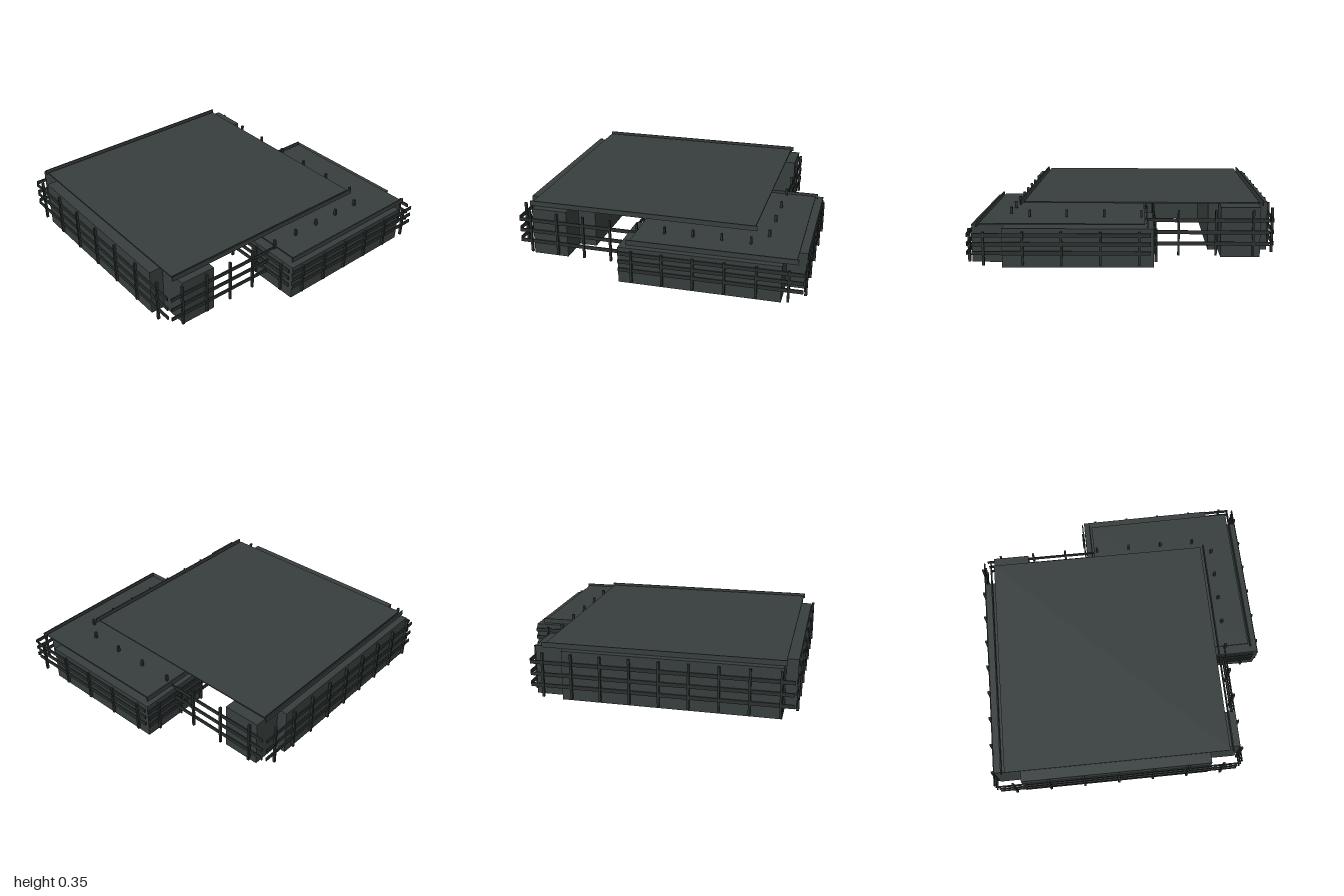
import * as THREE from 'three';

const wall = new THREE.MeshStandardMaterial({ color: 0x373e3d });
wall.name = 'dark slate';
const metal = new THREE.MeshStandardMaterial({ color: 0x2a302f });
metal.name = 'charcoal metal';

// Box given by its lower and upper limits on each axis
function box(parent, name, mat, [x0, x1], [y0, y1], [z0, z1]) {
  const m = new THREE.Mesh(new THREE.BoxGeometry(x1 - x0, y1 - y0, z1 - z0), mat);
  m.position.set((x0 + x1) / 2, (y0 + y1) / 2, (z0 + z1) / 2);
  m.name = name;
  parent.add(m);
}

// One straight run of fence along local x
function fenceRun(half, posts, spacing, postTop, rails) {
  const g = new THREE.Group();
  g.name = 'fenceRun';
  for (const y of rails) box(g, 'rail', metal, [-half, half], [y - 0.012, y + 0.012], [-0.004, 0.004]);
  for (let i = 0; i < posts; i++) {
    const x = (i - (posts - 1) / 2) * spacing;
    box(g, 'post', metal, [x - 0.007, x + 0.007], [0.015, postTop], [-0.006, 0.011]);
  }
  return g;
}

function building(o) {
  const g = new THREE.Group();
  g.name = o.name;
  g.position.set(o.center[0], 0, o.center[1]);
  g.rotation.y = o.turn;

  // Solid wings
  for (const [name, x, z] of o.wings) box(g, name, wall, x, [0, o.height], z);

  // Thin raised roof sheet and two edge parapets
  const top = o.height;
  box(g, 'roofSheet', wall, o.sheetX, [top + 0.012, top + 0.02], o.sheetZ);
  for (const s of [-1, 1]) {
    const z = s * o.parapetZ;
    box(g, 'parapet', wall, [-o.parapetX, o.parapetX], [top, top + 0.033], [z - 0.004, z + 0.004]);
  }

  // Fence on all four sides
  for (let i = 0; i < 4; i++) {
    const alongX = i % 2 === 0;
    const [half, posts, spacing] = alongX ? o.fenceX : o.fenceZ;
    const run = fenceRun(half, posts, spacing, o.postTop, o.rails);
    const d = alongX ? o.fenceZ[3] : o.fenceX[3];
    const a = i * Math.PI / 2;
    run.rotation.y = a;
    run.position.set(Math.sin(a) * d, 0, Math.cos(a) * d);
    g.add(run);
  }
  return g;
}

export function createModel() {
  const model = new THREE.Group();
  model.name = 'courtyardBuildings';

  model.add(building({
    name: 'largeBuilding', center: [-0.135, -0.105], turn: 0.016, height: 0.32,
    wings: [
      ['backWing', [-0.75, 0.62], [-0.822, -0.435]],
      ['leftWing', [-0.825, -0.37], [-0.648, 0.622]],
      ['backWingEnd', [0.6, 0.815], [-0.752, -0.502]],
      ['leftWingEnd', [-0.73, -0.49], [0.6, 0.825]],
    ],
    sheetX: [-0.757, 0.75], sheetZ: [-0.752, 0.752], parapetX: 0.765, parapetZ: 0.773,
    // half length, post count, spacing, distance from centre
    fenceX: [0.82, 9, 0.185, 0.83], fenceZ: [0.81, 7, 0.235, 0.833],
    postTop: 0.305, rails: [0.09, 0.163, 0.24],
  }));

  model.add(building({
    name: 'smallBuilding', center: [0.39, 0.375], turn: 0.028, height: 0.24,
    wings: [
      ['frontWing', [-0.575, 0.445], [0.18, 0.565]],
      ['rightWing', [0.085, 0.572], [-0.558, 0.36]],
    ],
    sheetX: [-0.518, 0.522], sheetZ: [-0.505, 0.505], parapetX: 0.535, parapetZ: 0.52,
    fenceX: [0.575, 6, 0.195, 0.579], fenceZ: [0.54, 5, 0.235, 0.57],
    postTop: 0.222, rails: [0.09, 0.145, 0.2],
  }));

  return model;
}
